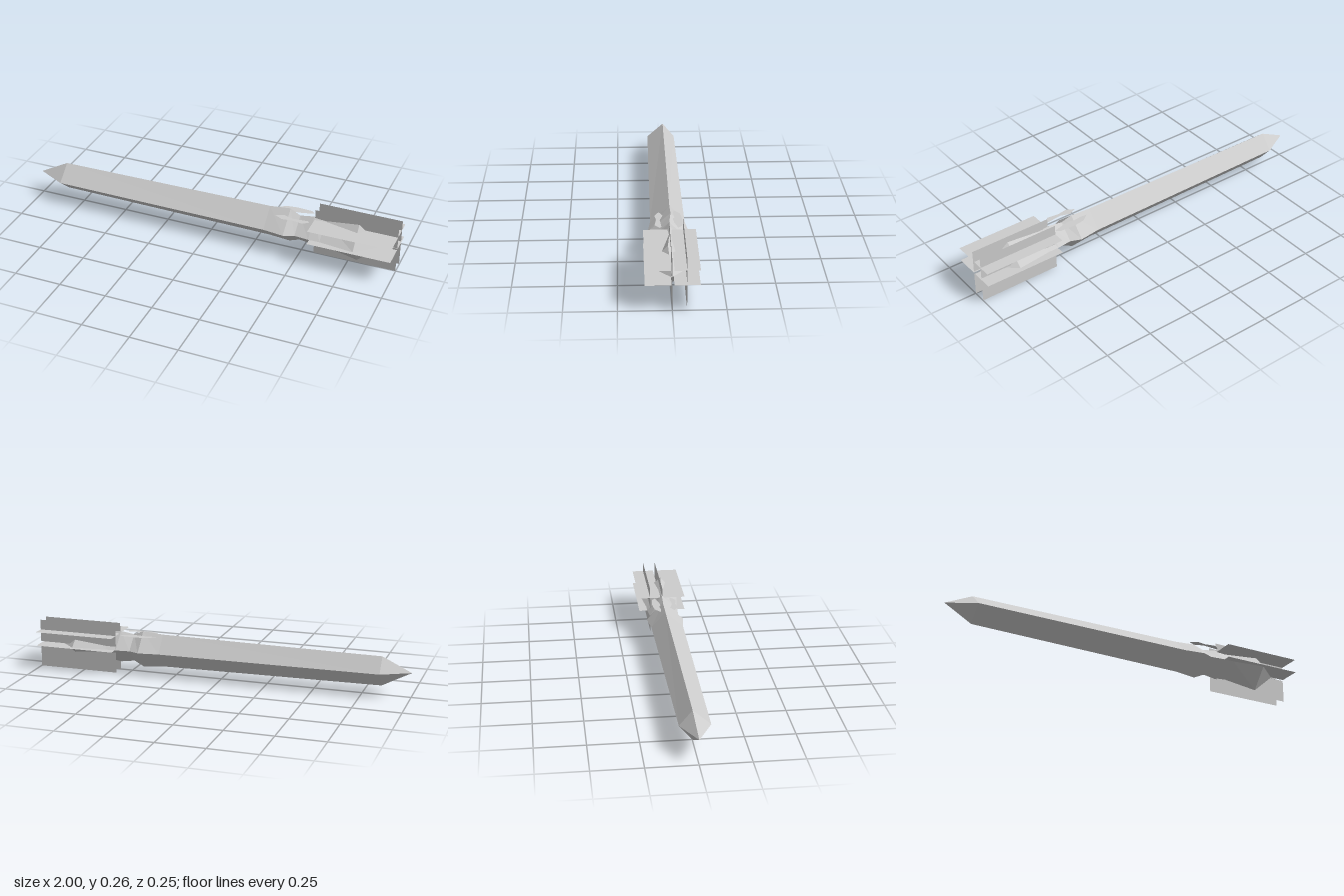
import * as THREE from 'three';

const AXIS_Y = 0.128;

// Faceted hull: diamond cross-sections [x, top y, bottom y, half depth, ridge z] joined in a loop
function hullGeometry(sections) {
  const rings = sections.map(([x, top, bottom, depth, ridge]) => [
    [x, top, ridge], [x, AXIS_Y, depth], [x, bottom, ridge], [x, AXIS_Y, -depth],
  ]);
  const points = [];
  for (let i = 0; i < rings.length - 1; i++) {
    for (let k = 0; k < 4; k++) {
      const n = (k + 1) % 4;
      const a = rings[i][k], b = rings[i][n], c = rings[i + 1][n], d = rings[i + 1][k];
      if (i > 0) points.push(...a, ...b, ...c);
      if (i === 0) points.push(...a, ...c, ...d);
      else if (i < rings.length - 2) points.push(...a, ...c, ...d);
    }
  }
  const geometry = new THREE.BufferGeometry();
  geometry.setAttribute('position', new THREE.Float32BufferAttribute(points, 3));
  geometry.computeVertexNormals();
  return geometry;
}

export function createModel() {
  const model = new THREE.Group();
  const grey = new THREE.MeshStandardMaterial({
    color: 0xcccccc, flatShading: true, side: THREE.DoubleSide,
  });
  grey.name = 'light grey';

  const add = (name, geometry) => {
    const mesh = new THREE.Mesh(geometry, grey);
    mesh.name = name;
    model.add(mesh);
    return mesh;
  };

  // Long pointed hull, pinched neck and flared tail
  add('hull', hullGeometry([
    [-1, AXIS_Y, AXIS_Y, 0, 0],
    [-0.85, 0.205, 0.052, 0.076, -0.012],
    [0.32, 0.216, 0.041, 0.086, -0.01],
    [0.43, 0.226, 0.031, 0.1, -0.012],
    [0.485, 0.202, 0.056, 0.078, -0.004],
    [0.56, 0.214, 0.045, 0.085, -0.004],
    [0.62, 0.204, 0.053, 0.085, 0],
    [0.8, 0.234, 0.023, 0.106, 0.013],
    [0.92, AXIS_Y, AXIS_Y, 0, 0],
  ]));

  // Tail vanes: flat sheets in pairs with a narrow slot between the halves
  const length = 0.433, midX = 0.782;
  for (const z of [0, -0.068]) {
    for (const [low, high] of [[0, 0.122], [0.137, 0.256]]) {
      add('uprightVane', new THREE.PlaneGeometry(length, high - low))
        .position.set(midX, (low + high) / 2, z);
    }
  }
  for (const y of [AXIS_Y, 0.202]) {
    for (const [back, front] of [[-0.129, -0.01], [0.003, 0.125]]) {
      const vane = add('levelVane', new THREE.PlaneGeometry(length, front - back));
      vane.rotation.x = -Math.PI / 2;
      vane.position.set(midX, y, (back + front) / 2);
    }
  }

  // Flat leaf-shaped fins beside the neck, outlined as [x, z]
  const leaves = {
    backLeaf: [[0.35, -0.03], [0.39, -0.06], [0.45, -0.068], [0.53, -0.063],
      [0.55, -0.045], [0.49, -0.028], [0.43, -0.02]],
    frontLeaf: [[0.37, 0.045], [0.41, 0.026], [0.46, 0.042], [0.54, 0.035],
      [0.55, 0.045], [0.52, 0.068], [0.46, 0.06], [0.41, 0.067]],
  };
  for (const [name, outline] of Object.entries(leaves)) {
    const shape = new THREE.Shape(outline.map(([x, z]) => new THREE.Vector2(x, -z)));
    const leaf = add(name, new THREE.ShapeGeometry(shape));
    leaf.rotation.x = -Math.PI / 2;
    leaf.position.y = 0.204;
  }
  return model;
}
